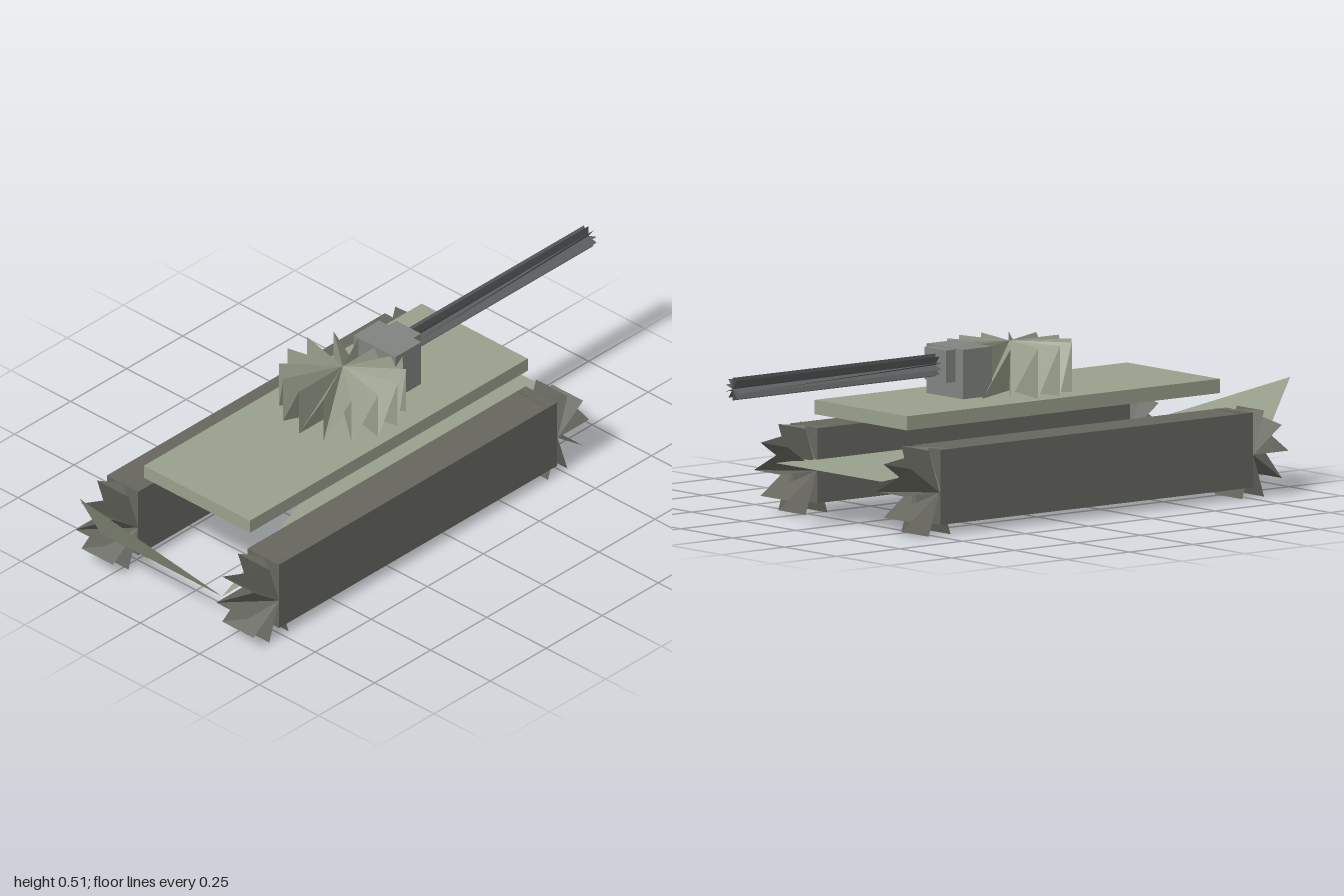
import * as THREE from 'three';

const mat = (color) => new THREE.MeshStandardMaterial({ color, flatShading: true, side: THREE.DoubleSide });

export function createModel() {
  const group = new THREE.Group();
  const green = mat(0x98a08c), track = mat(0x66665f), grey = mat(0x80847f), dark = mat(0x5c5e5f);

  const add = (name, geometry, material) => {
    const mesh = new THREE.Mesh(geometry, material);
    mesh.name = name;
    group.add(mesh);
    return mesh;
  };

  // Box given by its minimum and maximum corners
  const box = (name, min, max, material) => {
    const size = max.map((v, i) => v - min[i]);
    const mesh = add(name, new THREE.BoxGeometry(...size), material);
    mesh.position.set(...min.map((v, i) => v + size[i] / 2));
  };

  const triangles = (points) => {
    const g = new THREE.BufferGeometry();
    g.setAttribute('position', new THREE.Float32BufferAttribute(points.flat(), 3));
    g.computeVertexNormals();
    return g;
  };

  // Pleated drum: the rim zigzags between both ends, and each rim edge
  // joins both end centres, leaving one wedge open.
  // place(a, b, h) maps the round plane (a, b) and the axis h to x, y, z.
  const pleatedDrum = (sides, radius, h0, h1, place) => {
    const rim = [];
    for (let i = 0; i < sides; i++) {
      const t = (i / sides) * Math.PI * 2;
      const a = radius * Math.cos(t), b = radius * Math.sin(t);
      rim.push(place(a, b, h0), place(a, b, h1));
    }
    const points = [];
    for (const h of [h0, h1]) {
      for (let i = 0; i + 1 < rim.length; i++) points.push(place(0, 0, h), rim[i], rim[i + 1]);
    }
    return triangles(points);
  };

  // Tracks with a pleated wheel at each end
  for (const [side, z0, z1] of [['left', 0.23, 0.362], ['right', -0.362, -0.23]]) {
    box(side + 'Track', [-0.765, 0.032, z0], [0.475, 0.264, z1], track);
    for (const [end, cx] of [['rear', -0.765], ['front', 0.478]]) {
      add(side + end + 'Wheel',
        pleatedDrum(10, 0.14, z0, z1, (a, b, h) => [cx + a, 0.133 + b, h]), track);
    }
  }

  // Hull: open floor panel and sloping rear panel
  add('hullFloor', triangles([
    [-0.905, 0.167, 0.255], [0.62, 0.167, 0.255], [0.62, 0.167, -0.255],
  ]), green);
  add('hullRear', triangles([
    [-0.905, 0.167, 0.255], [-0.905, 0.167, -0.255], [-1, 0.34, -0.255],
  ]), green);

  box('deck', [-0.747, 0.31, -0.223], [0.492, 0.354, 0.223], green);

  // Turret, gun mount and barrel
  add('turret', pleatedDrum(14, 0.195, 0.354, 0.508, (a, b, h) => [-0.097 + a, h, b]), green);
  box('gunMount', [0.045, 0.36, -0.088], [0.16, 0.513, 0.088], grey);
  box('barrelCollar', [0.16, 0.41, -0.052], [0.197, 0.51, 0.052], grey);
  add('barrel', pleatedDrum(10, 0.035, 0.19, 1, (a, b, h) => [h, 0.46 + a, b]), dark);

  return group;
}
